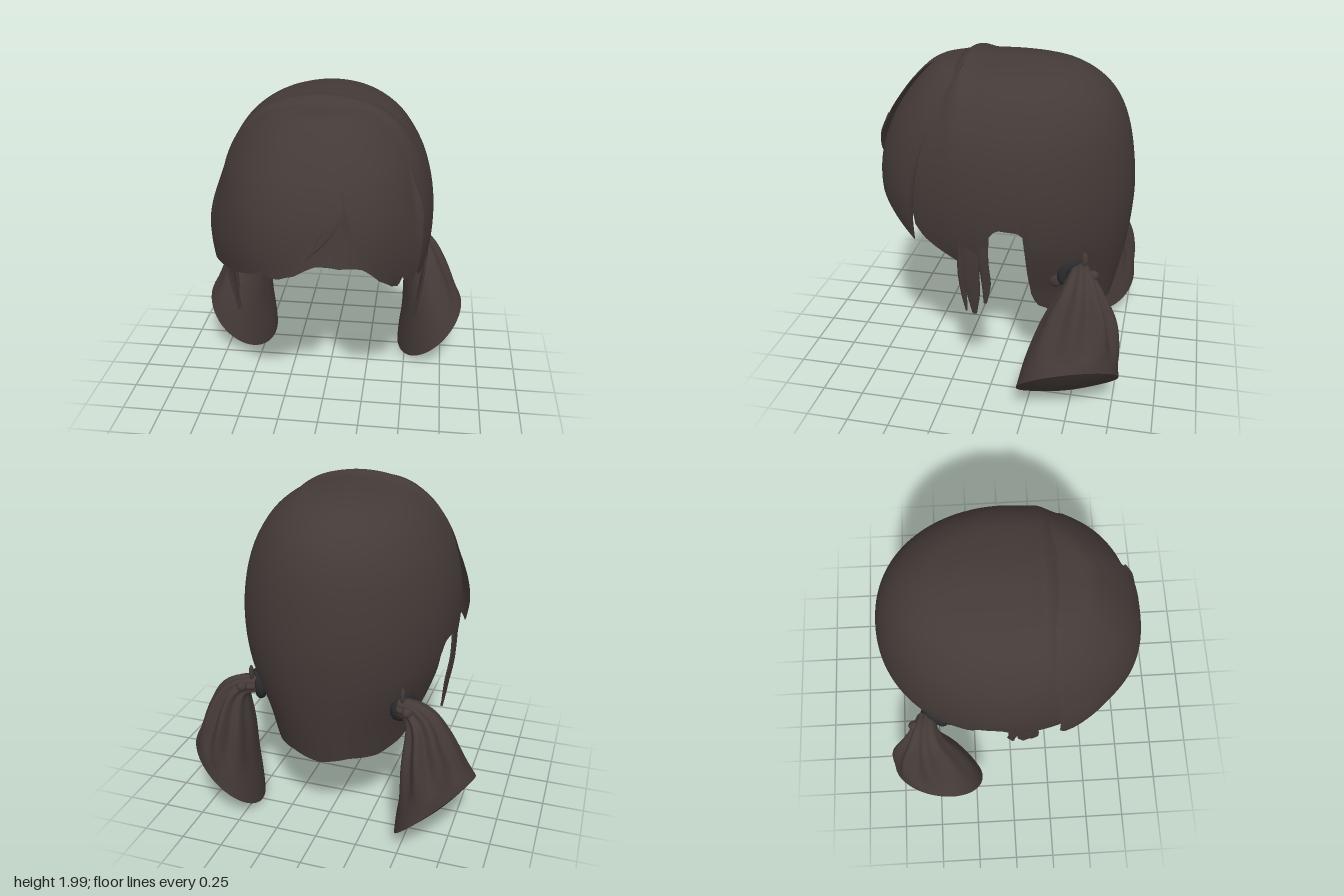
import * as THREE from 'three';
import { ParametricGeometry } from 'three/addons/geometries/ParametricGeometry.js';

const hair = new THREE.MeshStandardMaterial({ color: 0x443a37, side: THREE.DoubleSide });
const band = new THREE.MeshStandardMaterial({ color: 0x2a2a2c, side: THREE.DoubleSide });
const TOP = 1.985;

// Head levels: y, half width, back depth, cap front depth, fringe front depth
const levels = [
  [1.985, 0, 0, 0, 0],
  [1.975, 0.11, 0.24, 0.17, 0.18],
  [1.95, 0.24, 0.38, 0.27, 0.31],
  [1.93, 0.31, 0.445, 0.31, 0.42],
  [1.85, 0.43, 0.575, 0.43, 0.525],
  [1.75, 0.51, 0.66, 0.54, 0.61],
  [1.6, 0.585, 0.722, 0.64, 0.705],
  [1.4, 0.633, 0.76, 0.715, 0.775],
  [1.2, 0.643, 0.775, 0.735, 0.79],
  [1.0, 0.62, 0.763, 0.705, 0.75],
  [0.85, 0.57, 0.743, 0.68, 0.71],
  [0.7, 0.51, 0.715, 0.65, 0.68],
  [0.45, 0.45, 0.66, 0.6, 0.63],
].map(([y, ...r]) => [Math.sqrt(TOP - y), ...r]);

// Piecewise interpolation of column c in rows sorted by column 0
function lookup(rows, x, c = 1, smooth = false) {
  const n = rows.length - 1;
  if (x <= rows[0][0]) return rows[0][c];
  if (x >= rows[n][0]) return rows[n][c];
  let i = 0;
  while (rows[i + 1][0] < x) i++;
  const a = rows[i], b = rows[i + 1], h = b[0] - a[0], t = (x - a[0]) / h;
  if (!smooth) return a[c] + (b[c] - a[c]) * t;
  const slope = (k) => {
    const p = rows[Math.max(k - 1, 0)], q = rows[Math.min(k + 1, n)];
    return (q[c] - p[c]) / (q[0] - p[0]);
  };
  const t2 = t * t, t3 = t2 * t;
  return a[c] * (2 * t3 - 3 * t2 + 1) + b[c] * (3 * t2 - 2 * t3)
    + h * (slope(i) * (t3 - 2 * t2 + t) + slope(i + 1) * (t3 - t2));
}

function surface(name, fn, nu, nv) {
  const g = new ParametricGeometry(fn, nu, nv);
  g.computeVertexNormals();
  const mesh = new THREE.Mesh(g, hair);
  mesh.name = name;
  return mesh;
}

// Point on the head; a = 0 is the front, PI the back
function headPoint(a, s, frontColumn, out, sx = 1, sz = 1) {
  const sin = Math.sin(a), cos = Math.cos(a);
  const rx = lookup(levels, s, 1, true) * sx;
  const front = cos > 0;
  const rz = lookup(levels, s, front ? frontColumn : 2, true) * (front ? sz : 1);
  const w = front ? Math.pow(Math.abs(sin), 0.78) : Math.abs(sin);
  return out.set(Math.sign(sin) * w * rx, TOP - s * s, cos * rz);
}

// Main cap, hem height by angle away from the back
const capHem = [
  [0, 0.48], [0.38, 0.51], [0.72, 0.49], [1.0, 0.53], [1.17, 0.59], [1.25, 0.72], [1.27, 1.1],
  [1.33, 1.14], [1.48, 1.155], [1.53, 1.12], [1.57, 1.02], [1.8, 0.9], [2.0, 0.98], [2.12, 1.03],
  [2.2, 1.1], [2.25, 1.35], [2.3, 1.65], [2.4, 1.85], [2.65, 1.92], [3.15, 1.945],
];
function makeCap() {
  return surface('hairCap', (u, v, out) => {
    const t = (u * 2 - 1) * Math.PI;
    const s = v * Math.sqrt(TOP - lookup(capHem, Math.abs(t)));
    headPoint(Math.PI - t, s, 3, out);
    // raised ridge just behind the fringe
    const lift = Math.exp(-(((out.z - 0.2) / 0.06) ** 2));
    out.y += 0.03 * lift * THREE.MathUtils.smoothstep(out.y, 1.1, 1.9);
  }, 180, 48);
}

// Fringe panel between two angles with its own hem, its outer tip flicked outwards
function makePanel(name, hem, sx, sz) {
  const a0 = hem[0][0], a1 = hem[hem.length - 1][0];
  return surface(name, (u, v, out) => {
    const a = a0 + (a1 - a0) * u;
    const s0 = Math.sqrt(TOP - 1.96), s1 = Math.sqrt(TOP - lookup(hem, a));
    headPoint(a, s0 + (s1 - s0) * v, 4, out, sx, sz);
    const { smoothstep } = THREE.MathUtils;
    out.x *= 1 + 0.07 * smoothstep(v, 0.65, 1) * smoothstep(Math.abs(a), 0.6, 1.1);
  }, 64, 28);
}

// Tapered flat strand; rows are x, y, z, half width along dir
function makeStrand(name, rows, dir) {
  const path = new THREE.CatmullRomCurve3(rows.map((r) => new THREE.Vector3(r[0], r[1], r[2])));
  const widths = rows.map((r, i) => [i / (rows.length - 1), r[3]]);
  const across = new THREE.Vector3(...dir).normalize(), p = new THREE.Vector3();
  return surface(name, (u, v, out) => {
    const a = u * Math.PI * 2, w = lookup(widths, v);
    path.getPoint(v, p);
    const flat = new THREE.Vector3().crossVectors(across, path.getTangent(v)).normalize();
    out.copy(p).addScaledVector(across, Math.cos(a) * w)
      .addScaledVector(flat, Math.sin(a) * Math.min(0.008, w));
  }, 10, 14);
}

// Tail sections: t, centre x, y, z, half size in the xy plane, half size in z, tilt in degrees
const tailRows = [
  [0, 0.43, 0.85, -0.52, 0.05, 0.055, 85],
  [0.12, 0.505, 0.845, -0.535, 0.06, 0.075, 62],
  [0.28, 0.567, 0.78, -0.54, 0.095, 0.12, 33],
  [0.52, 0.605, 0.615, -0.53, 0.148, 0.2, 29],
  [0.78, 0.645, 0.4, -0.51, 0.207, 0.262, 32],
  [1, 0.66, 0.217, -0.495, 0.292, 0.292, 44],
];
function tailPoint(t, a, scale, out) {
  const [x, y, z, hu, hz, tilt] = [1, 2, 3, 4, 5, 6].map((c) => lookup(tailRows, t, c, true));
  // gathered folds at the back that fade towards the tip
  const back = 0.5 - 0.5 * Math.sin(a - 0.5);
  const fold = 1 + 0.15 * Math.cos(a * 8) * back * Math.sin(Math.PI * Math.min(1, t * 1.05 + 0.1));
  const k = scale * fold, r = THREE.MathUtils.degToRad(tilt), c = Math.cos(a) * hu * k;
  const twist = Math.sin(a) * 0.05 * t * t * k;
  return out.set(x + Math.cos(r) * c + twist, y + Math.sin(r) * c - twist, z + Math.sin(a) * hz * k);
}

function makePigtail() {
  const g = new THREE.Group();
  g.add(surface('tail', (u, v, out) => tailPoint(v, u * Math.PI * 2, 1, out), 80, 32));
  g.add(surface('tailEnd', (u, v, out) => {
    tailPoint(1, u * Math.PI * 2, 1 - v, out);
    const bulge = 0.025 * Math.sin(v * Math.PI / 2);
    out.x += bulge;
    out.y -= bulge;
  }, 80, 8));

  // Elastic and its knotted ends
  const ring = new THREE.Mesh(new THREE.TorusGeometry(0.062, 0.032, 10, 28), band);
  ring.name = 'hairTie';
  ring.position.set(0.445, 0.83, -0.475);
  ring.lookAt(1.2, 0.75, -0.9);
  g.add(ring);
  const knots = [
    [0.385, 0.86, -0.41, 0.04, 0.025, 0.035], [0.455, 0.79, -0.38, 0.035, 0.055, 0.045],
    [0.5, 0.86, -0.6, 0.03, 0.03, 0.035], [0.46, 0.93, -0.545, 0.014, 0.05, 0.02],
  ];
  for (const [x, y, z, a, b, c] of knots) {
    const knot = new THREE.Mesh(new THREE.SphereGeometry(1, 14, 10), hair);
    knot.name = 'tieKnot';
    knot.position.set(x, y, z);
    knot.scale.set(a, b, c);
    g.add(knot);
  }
  return g;
}

// Thin locks in front of the ear
function makeSideLocks() {
  const g = new THREE.Group();
  const locks = [
    [[0.615, 1.12, 0.145, 0.01], [0.6, 0.85, 0.148, 0.018], [0.57, 0.68, 0.138, 0.017], [0.55, 0.565, 0.13, 0.006]],
    [[0.615, 1.12, 0.08, 0.05], [0.605, 0.9, 0.085, 0.052], [0.58, 0.7, 0.08, 0.04], [0.555, 0.555, 0.08, 0.014]],
    [[0.62, 1.15, 0.01, 0.035], [0.615, 0.95, 0.01, 0.03], [0.59, 0.78, 0.0, 0.028], [0.575, 0.645, 0.01, 0.01]],
  ];
  for (const rows of locks) g.add(makeStrand('sideLock', rows, [0, 0, 1]));
  return g;
}

export function createModel() {
  const model = new THREE.Group();
  model.name = 'hair';
  model.add(makeCap());

  // Fringe swept to both sides of the parting
  model.add(makePanel('rightFringe', [
    [-1.22, 1.2], [-1.14, 1.05], [-0.9, 1.065], [-0.7, 1.08], [-0.42, 1.13], [-0.2, 1.21], [-0.06, 1.3],
    [0.04, 1.4], [0.12, 1.5], [0.18, 1.62], [0.22, 1.8],
  ], 1.01, 1));
  model.add(makePanel('leftFringe', [
    [0.08, 1.75], [0.18, 1.6], [0.25, 1.42], [0.45, 1.2], [0.7, 1.09], [0.93, 1.0], [0.97, 1.15], [1.0, 1.4],
  ], 1, 0.95));
  model.add(makeStrand('looseStrand', [
    [0.16, 1.62, 0.68, 0.01], [0.13, 1.49, 0.735, 0.04], [0.07, 1.37, 0.76, 0.038], [-0.02, 1.26, 0.77, 0.003],
  ], [1, 0.3, 0]));

  // Mirrored parts
  for (const side of [1, -1]) {
    const half = new THREE.Group();
    half.name = side > 0 ? 'leftSide' : 'rightSide';
    half.scale.x = side;
    const tail = makePigtail(), locks = makeSideLocks();
    tail.name = 'pigtail';
    locks.name = 'sideLocks';
    half.add(tail, locks);
    model.add(half);
  }
  return model;
}
